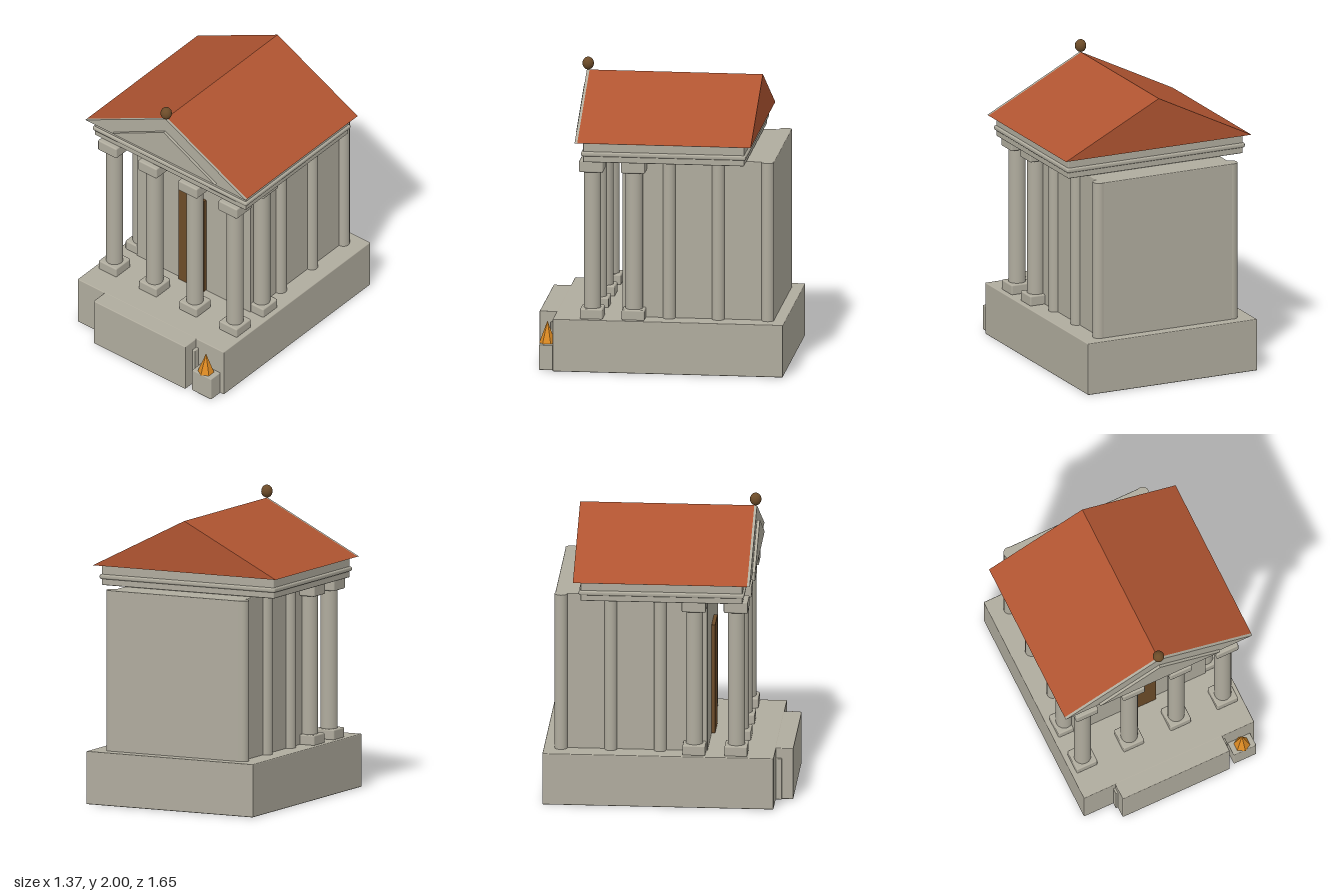
import * as THREE from 'three';
import { RoundedBoxGeometry } from 'three/addons/geometries/RoundedBoxGeometry.js';

export function createModel() {
  const group = new THREE.Group();
  group.name = 'temple';

  const mat = (name, color, flatShading = false) => {
    const m = new THREE.MeshStandardMaterial({ color, flatShading });
    m.name = name;
    return m;
  };
  const stone = mat('stone', 0xb0ac9e);
  const tile = mat('terracotta', 0xb05431);
  const wood = mat('wood', 0x6d4c29);
  const fire = mat('fire', 0xdf8c24, true);

  const add = (name, geometry, material, parent = group) => {
    const mesh = new THREE.Mesh(geometry, material);
    mesh.name = name;
    parent.add(mesh);
    return mesh;
  };

  // Box given by its extents, with slightly softened edges
  const block = (name, x0, x1, y0, y1, z0, z1, material = stone, r = 0.006, parent = group) => {
    const mesh = add(name, new RoundedBoxGeometry(x1 - x0, y1 - y0, z1 - z0, 2, r), material, parent);
    mesh.position.set((x0 + x1) / 2, (y0 + y1) / 2, (z0 + z1) / 2);
    return mesh;
  };

  // Triangular prism of half width w between two depths
  const gable = (name, w, y0, y1, z0, z1, material) => {
    const s = new THREE.Shape();
    s.moveTo(-w, y0);
    s.lineTo(w, y0);
    s.lineTo(0, y1);
    s.closePath();
    const geo = new THREE.ExtrudeGeometry(s, { depth: z1 - z0, bevelEnabled: false });
    add(name, geo, material).position.z = z0;
  };

  // Podium, front stair block and altar
  block('podium', -0.625, 0.625, 0, 0.355, -0.825, 0.71);
  block('stairBack', -0.41, 0.41, 0, 0.285, 0.69, 0.75);
  block('stairBlock', -0.395, 0.39, 0, 0.354, 0.7, 0.825);
  block('altar', 0.43, 0.595, 0, 0.17, 0.7, 0.805);
  add('flame', new THREE.ConeGeometry(0.055, 0.15, 6), fire).position.set(0.512, 0.243, 0.757);

  // Inner chamber with half-round pilasters along its sides
  block('chamber', -0.485, 0.485, 0.35, 1.43, -0.75, 0.262);
  block('door', -0.11, 0.11, 0.355, 1.11, 0.255, 0.287, wood, 0.004);
  for (const side of [-1, 1]) {
    for (const z of [-0.71, -0.38, -0.052]) {
      add('pilaster', new THREE.CylinderGeometry(0.042, 0.042, 1.08, 24), stone)
        .position.set(side * 0.488, 0.89, z);
    }
  }

  // Columns: four in front, one behind each corner
  const column = (x, z) => {
    const c = new THREE.Group();
    c.name = 'column';
    block('columnBase', -0.076, 0.076, 0.35, 0.422, -0.076, 0.076, stone, 0.01, c);
    add('columnShaft', new THREE.CylinderGeometry(0.057, 0.057, 0.96, 32), stone, c).position.y = 0.885;
    block('columnCapital', -0.08, 0.08, 1.35, 1.432, -0.08, 0.08, stone, 0.01, c);
    c.position.set(x, 0, z);
    group.add(c);
  };
  for (const x of [-0.515, -0.172, 0.172, 0.515]) column(x, 0.457);
  for (const x of [-0.515, 0.515]) column(x, 0.178);

  // Entablature with a projecting moulding
  block('entablature', -0.645, 0.645, 1.432, 1.572, -0.57, 0.505);
  block('moulding', -0.658, 0.658, 1.473, 1.505, -0.582, 0.517, stone, 0.012);

  // Roof, stone pediment and its raised panel
  gable('roof', 0.685, 1.568, 1.913, -0.618, 0.538, tile);
  gable('pediment', 0.685, 1.568, 1.913, 0.538, 0.556, stone);
  gable('pedimentPanel', 0.44, 1.587, 1.812, 0.55, 0.575, stone);

  // Roof ornament
  const ball = add('finial', new THREE.SphereGeometry(0.038, 20, 14), wood);
  ball.scale.y = 1.13;
  ball.position.set(0, 1.957, 0.547);

  return group;
}
